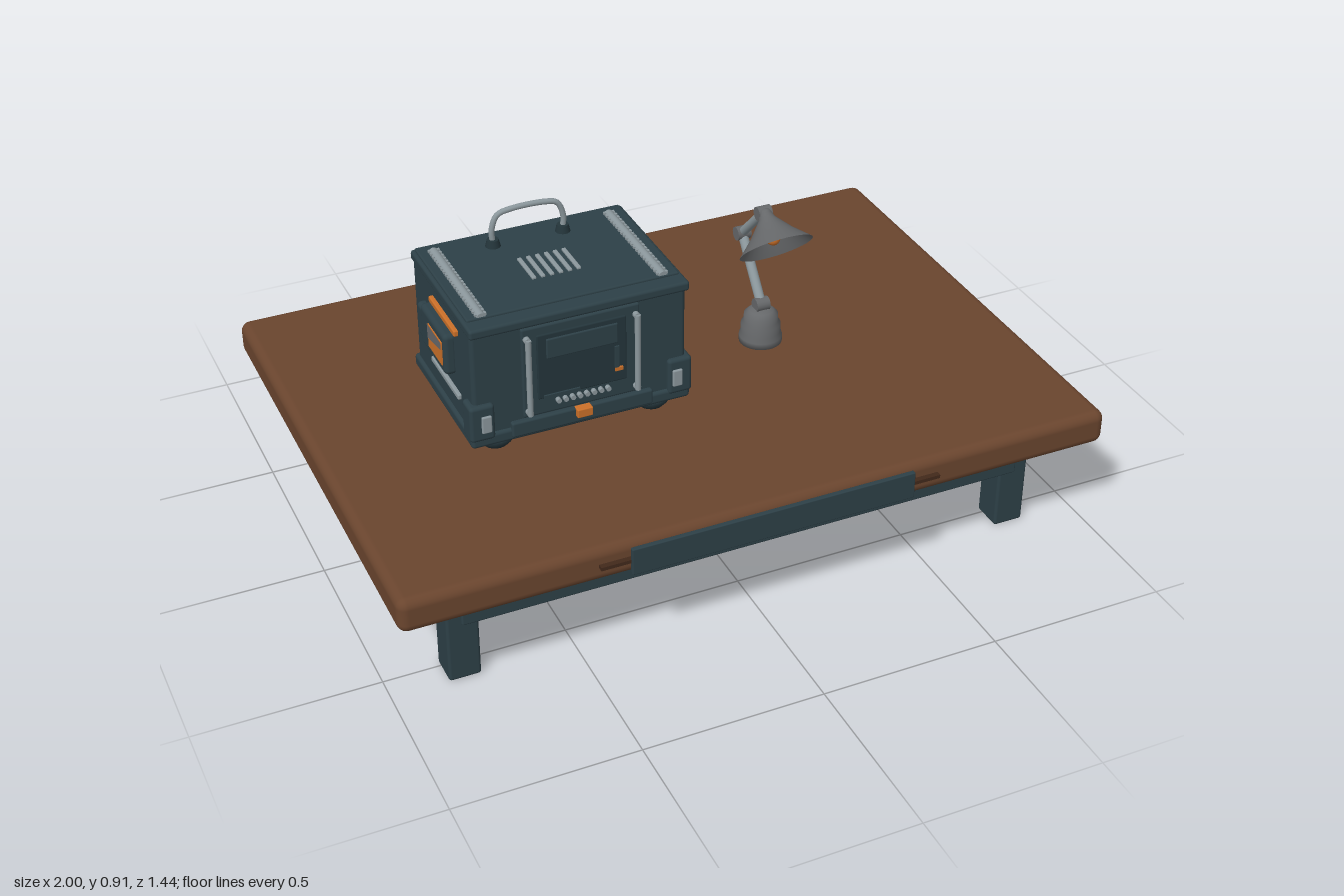
import * as THREE from 'three';
import { RoundedBoxGeometry } from 'three/addons/geometries/RoundedBoxGeometry.js';

const paint = (name, color, side = THREE.FrontSide) => {
  const m = new THREE.MeshStandardMaterial({ color, side });
  m.name = name;
  return m;
};

export function createModel() {
  const wood = paint('brown wood', 0x6a452e);
  const darkWood = paint('dark wood', 0x42291b);
  const teal = paint('dark teal', 0x2d4047);
  const darkTeal = paint('deep teal', 0x24353b);
  const steel = paint('light steel', 0x8b979c);
  const lampGrey = paint('lamp grey', 0x66686a, THREE.DoubleSide);
  const orange = paint('orange', 0xcb7029);

  const model = new THREE.Group();
  model.name = 'deskWithCaseAndLamp';

  const add = (parent, name, geo, mat, x = 0, y = 0, z = 0) => {
    const m = new THREE.Mesh(geo, mat);
    m.name = name;
    m.position.set(x, y, z);
    parent.add(m);
    return m;
  };
  // Box given by its extents; r > 0 rounds the edges
  const box = (parent, name, mat, [x0, x1], [y0, y1], [z0, z1], r = 0) => {
    const s = [x1 - x0, y1 - y0, z1 - z0];
    const geo = r ? new RoundedBoxGeometry(...s, 3, r) : new THREE.BoxGeometry(...s);
    return add(parent, name, geo, mat, (x0 + x1) / 2, (y0 + y1) / 2, (z0 + z1) / 2);
  };
  // Cylinder between two points
  const rod = (parent, name, mat, a, b, r) => {
    const A = new THREE.Vector3(...a), B = new THREE.Vector3(...b);
    const d = B.clone().sub(A);
    const m = add(parent, name, new THREE.CylinderGeometry(r, r, d.length(), 16), mat);
    m.position.copy(A).add(B).multiplyScalar(0.5);
    m.quaternion.setFromUnitVectors(new THREE.Vector3(0, 1, 0), d.normalize());
    return m;
  };
  const group = (name) => {
    const g = new THREE.Group();
    g.name = name;
    model.add(g);
    return g;
  };

  // Table
  const table = group('table');
  box(table, 'tableTop', wood, [-1, 1], [0.29, 0.39], [-0.72, 0.693], 0.027);
  for (const s of [-1, 1]) {
    const x = s < 0 ? [-0.845, -0.758] : [0.758, 0.845];
    box(table, 'frontLeg', teal, x, [0, 0.292], [0.482, 0.571], 0.008);
    box(table, 'backLeg', teal, x, [0, 0.292], [-0.587, -0.497], 0.008);
  }
  box(table, 'frontRail', teal, [-0.805, 0.805], [0.173, 0.285], [0.505, 0.577], 0.005);
  box(table, 'backRail', teal, [-0.805, 0.805], [0.173, 0.285], [-0.594, -0.522], 0.005);
  box(table, 'drawerSlot', darkWood, [-0.48, 0.48], [0.336, 0.346], [0.68, 0.708]);
  box(table, 'drawerFront', teal, [-0.4, 0.4], [0.303, 0.382], [0.703, 0.717], 0.003);

  // Equipment case: shell
  const kit = group('equipmentCase');
  kit.position.x = -0.321;
  box(kit, 'caseBody', teal, [-0.3, 0.3], [0.425, 0.785], [-0.235, 0.203], 0.012);
  box(kit, 'caseLid', teal, [-0.305, 0.305], [0.76, 0.788], [-0.238, 0.218], 0.008);
  box(kit, 'lidPanel', teal, [-0.295, 0.295], [0.78, 0.795], [-0.23, 0.172], 0.005);
  box(kit, 'caseSkirt', teal, [-0.31, 0.31], [0.425, 0.462], [-0.243, 0.212], 0.01);
  for (const x of [-0.224, 0.224]) for (const z of [-0.162, 0.147]) {
    const pts = [[0, 0.388], [0.035, 0.39], [0.048, 0.405], [0.048, 0.418], [0.035, 0.432], [0, 0.432]];
    const foot = new THREE.LatheGeometry(pts.map((p) => new THREE.Vector2(...p)), 20);
    add(kit, 'caseFoot', foot, darkTeal, x, 0, z);
  }

  // Ribbed strips, vent slats and handle on the lid
  for (const x of [-0.254, 0.25]) {
    rod(kit, 'lidStrip', steel, [x, 0.792, -0.195], [x, 0.792, 0.17], 0.013);
    for (let i = 0; i < 22; i++) {
      box(kit, 'stripRib', steel, [x - 0.016, x + 0.016], [0.79, 0.801],
        [-0.195 + i * 0.0167, -0.185 + i * 0.0167]);
    }
  }
  for (let i = 0; i < 6; i++) {
    const x = -0.063 + i * 0.0252;
    box(kit, 'ventSlat', steel, [x - 0.006, x + 0.006], [0.79, 0.801], [-0.06, 0.052], 0.003);
  }
  const bow = [[-0.1, 0.8], [-0.102, 0.845], [-0.085, 0.885], [-0.05, 0.895],
    [0.05, 0.895], [0.085, 0.885], [0.102, 0.845], [0.1, 0.8]];
  const bowCurve = new THREE.CatmullRomCurve3(bow.map(([x, y]) => new THREE.Vector3(x, y, -0.155)));
  add(kit, 'handle', new THREE.TubeGeometry(bowCurve, 40, 0.008, 10), steel);
  for (const x of [-0.1, 0.1]) {
    add(kit, 'handleMount', new THREE.CylinderGeometry(0.016, 0.022, 0.025, 16), darkTeal, x, 0.803, -0.155);
  }

  // Front panel with rails, knobs and controls
  box(kit, 'frontPanel', teal, [-0.165, 0.165], [0.485, 0.755], [0.19, 0.212], 0.006);
  box(kit, 'innerPanel', darkTeal, [-0.125, 0.125], [0.535, 0.73], [0.205, 0.217], 0.004);
  box(kit, 'panelHeader', teal, [-0.1, 0.1], [0.655, 0.715], [0.21, 0.221], 0.004);
  box(kit, 'panelSlot', teal, [-0.11, -0.01], [0.536, 0.546], [0.21, 0.222]);
  box(kit, 'panelHinge', teal, [0.09, 0.102], [0.58, 0.645], [0.21, 0.222]);
  box(kit, 'indicatorLight', orange, [0.09, 0.112], [0.57, 0.58], [0.21, 0.223]);
  for (const s of [-1, 1]) {
    const x = s * 0.152;
    rod(kit, 'frontRod', steel, [x, 0.5, 0.227], [x, 0.73, 0.227], 0.008);
    for (const y of [0.505, 0.725]) rod(kit, 'rodMount', steel, [x, y, 0.2], [x, y, 0.227], 0.009);
  }
  for (let i = 0; i < 8; i++) {
    const x = -0.07 + i * 0.02;
    rod(kit, 'frontKnob', steel, [x, 0.521, 0.2], [x, 0.521, 0.225], 0.007);
  }
  box(kit, 'lowerLip', teal, [-0.2, 0.2], [0.435, 0.48], [0.19, 0.217], 0.006);
  box(kit, 'latch', orange, [-0.022, 0.022], [0.456, 0.482], [0.205, 0.231], 0.003);

  for (const s of [-1, 1]) {
    const sx = (a, b) => (s > 0 ? [a, b] : [-b, -a]);
    // Front corner guards
    box(kit, 'cornerGuard', teal, sx(0.245, 0.314), [0.448, 0.555], [0.155, 0.217], 0.01);
    box(kit, 'guardPlate', steel, sx(0.256, 0.284), [0.474, 0.525], [0.2, 0.223], 0.004);
    // Side window unit, trim strips and bracket
    box(kit, 'sideUnit', teal, sx(0.29, 0.328), [0.577, 0.7], [-0.112, 0.077], 0.014);
    box(kit, 'sideBracket', teal, sx(0.29, 0.322), [0.58, 0.68], [-0.156, -0.085], 0.012);
    box(kit, 'sideWindow', orange, sx(0.32, 0.331), [0.605, 0.675], [-0.042, 0.063]);
    const pane = new THREE.Shape([[-0.063, 0.652], [0.042, 0.632], [0.042, 0.675], [-0.063, 0.675]]
      .map(([u, v]) => new THREE.Vector2(s * u, v)));
    const glare = add(kit, 'windowPane', new THREE.ShapeGeometry(pane), lampGrey, s * 0.3325, 0, 0);
    glare.rotation.y = s * Math.PI / 2;
    box(kit, 'upperTrim', orange, sx(0.295, 0.312), [0.716, 0.734], [-0.08, 0.115], 0.004);
    box(kit, 'lowerTrim', steel, sx(0.295, 0.31), [0.522, 0.538], [-0.095, 0.115], 0.004);
  }

  // Desk lamp: turned base
  const lamp = group('deskLamp');
  lamp.position.x = 0.315;
  const profile = [[0, 0.388], [0.061, 0.388], [0.061, 0.408], [0.056, 0.422], [0.056, 0.445],
    [0.049, 0.455], [0.048, 0.475], [0.035, 0.488], [0.022, 0.493], [0, 0.495]];
  add(lamp, 'lampBase', new THREE.LatheGeometry(profile.map((p) => new THREE.Vector2(...p)), 28),
    lampGrey, 0, 0, -0.02);

  // Jointed arm
  const joints = [[0, 0.505, -0.02], [0, 0.668, -0.148], [0, 0.795, -0.022]];
  rod(lamp, 'lowerArm', steel, joints[0], joints[1], 0.014);
  rod(lamp, 'upperArm', steel, joints[1], joints[2], 0.013);
  for (const [x, y, z] of joints) {
    rod(lamp, 'armJoint', lampGrey, [x - 0.02, y, z], [x + 0.02, y, z], 0.02);
  }

  // Shade tilted forward, with the bulb inside
  const shade = new THREE.Group();
  shade.name = 'lampHead';
  shade.position.set(0, 0.795, -0.008);
  shade.rotation.x = -Math.PI / 4;
  lamp.add(shade);
  const cone = [[0.016, 0.008], [0.024, -0.012], [0.06, -0.055], [0.104, -0.097]];
  add(shade, 'lampShade', new THREE.LatheGeometry(cone.map((p) => new THREE.Vector2(...p)), 32), lampGrey);
  add(shade, 'shadeCap', new THREE.SphereGeometry(0.019, 16, 10), lampGrey);
  const bulb = add(shade, 'bulb', new THREE.SphereGeometry(0.023, 20, 14), orange, 0, -0.06, 0);
  bulb.scale.y = 1.2;
  add(shade, 'bulbNeck', new THREE.CylinderGeometry(0.012, 0.016, 0.04, 14), orange, 0, -0.028, 0);

  return model;
}
